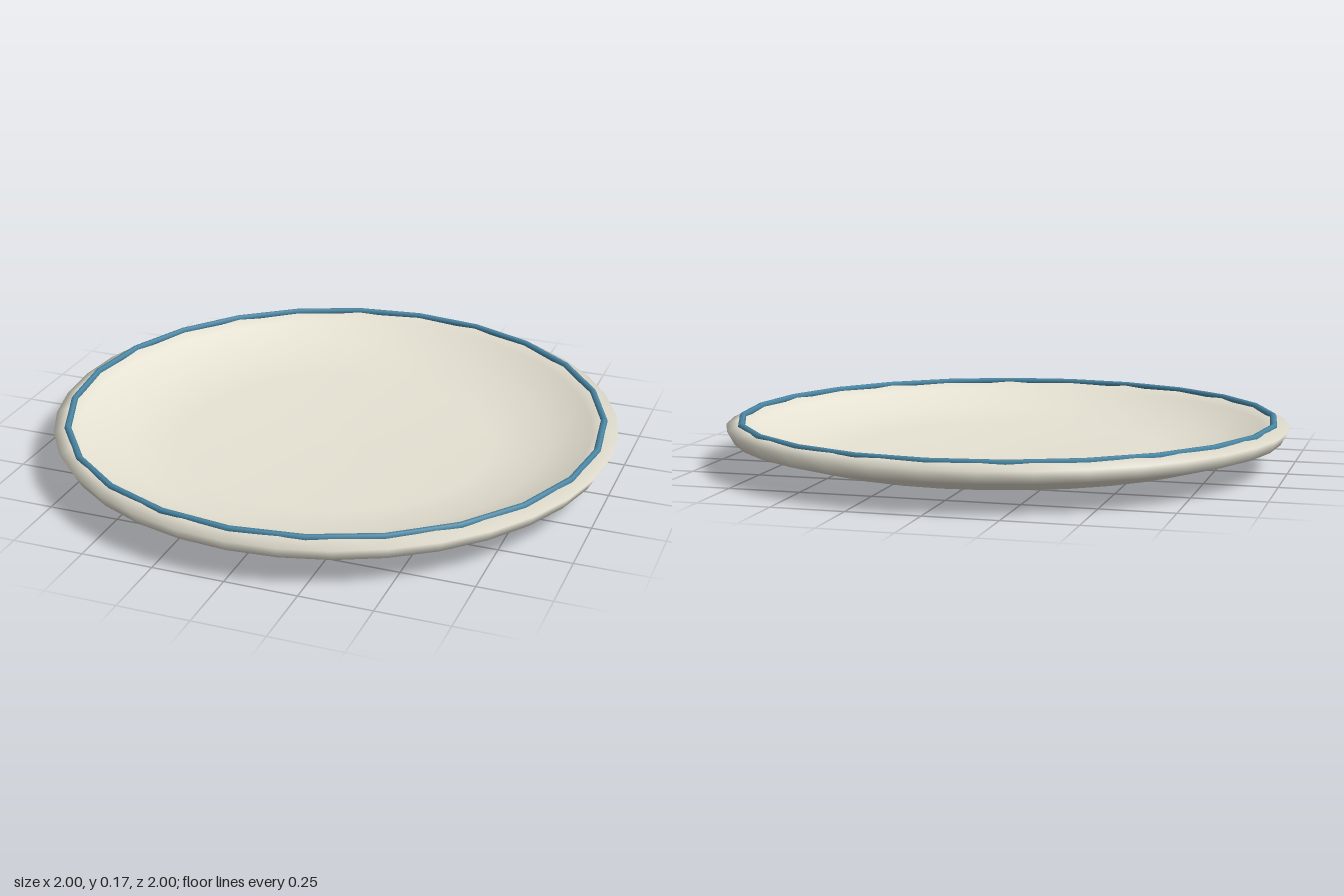
import * as THREE from 'three';

export function createModel() {
  const model = new THREE.Group();
  const glaze = new THREE.MeshStandardMaterial({ color: 0xe6e2d3 });
  glaze.name = 'cream glaze';
  const blue = new THREE.MeshStandardMaterial({ color: 0x4a88a6 });
  blue.name = 'blue band';

  const add = (name, geometry, material) => {
    const mesh = new THREE.Mesh(geometry, material);
    mesh.name = name;
    model.add(mesh);
    return mesh;
  };

  // Dish: closed profile from the underside centre, round the rim, to the well centre
  const profile = [
    [0, 0.02], [0.55, 0.02], [0.78, 0.044], [0.975, 0.1], [1, 0.145],
    [0.95, 0.165], [0.91, 0.135], [0.76, 0.078], [0.56, 0.05], [0, 0.045],
  ].map(([x, y]) => new THREE.Vector2(x, y));
  add('dish', new THREE.LatheGeometry(profile, 36), glaze);

  // Rings lying flat on the rim and under the base
  const addRing = (name, radius, tube, sides, segments, y, material) => {
    const geometry = new THREE.TorusGeometry(radius, tube, sides, segments);
    geometry.rotateX(-Math.PI / 2);
    add(name, geometry, material).position.y = y;
  };
  addRing('rimBand', 0.95, 0.012, 6, 24, 0.162, blue);
  addRing('footRing', 0.542, 0.016, 8, 24, 0.016, glaze);

  return model;
}
